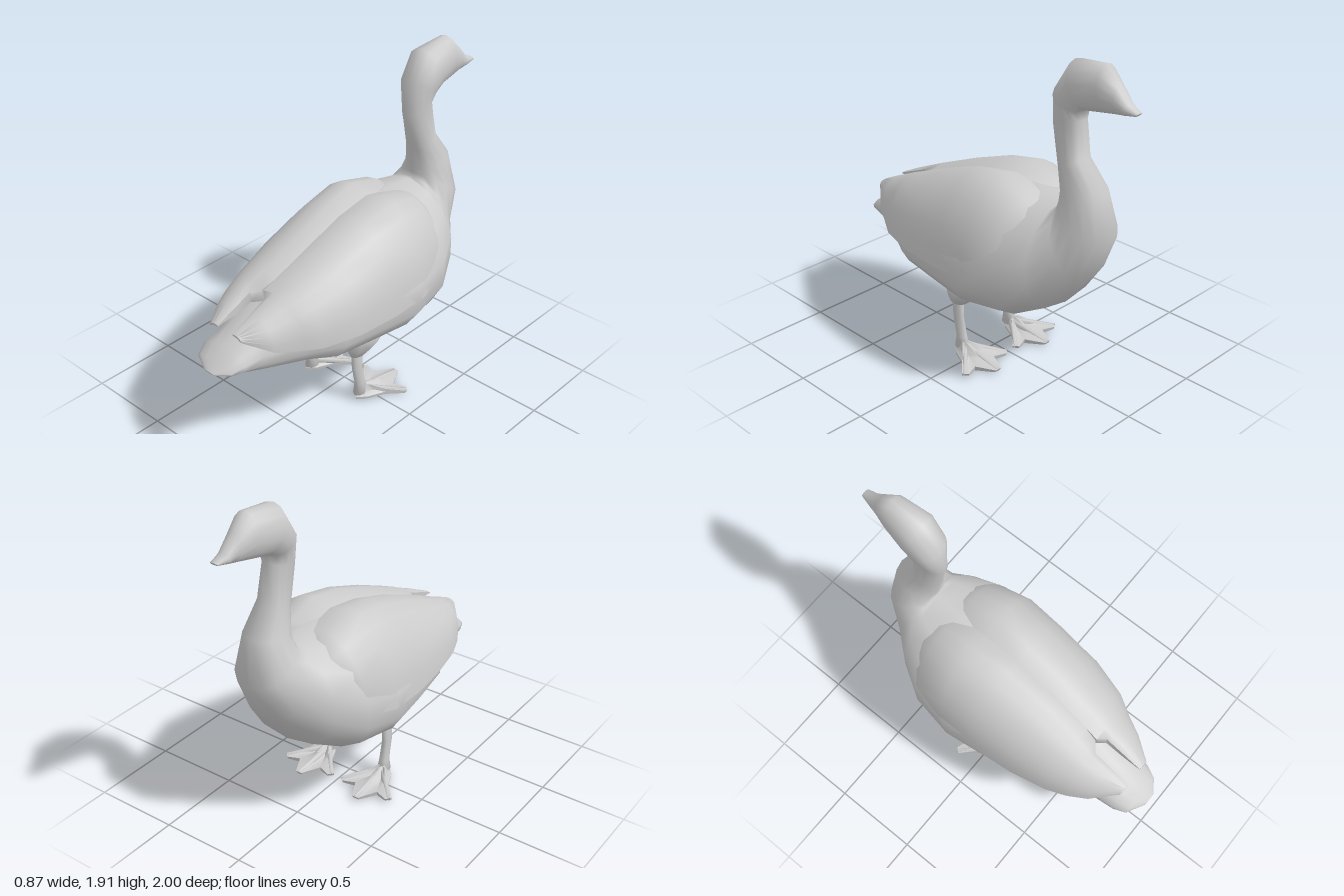
import * as THREE from 'three';
import { toCreasedNormals } from 'three/addons/utils/BufferGeometryUtils.js';

const material = new THREE.MeshStandardMaterial({ color: 0xcccccc });

// Skin a list of equal-length rings of [x, y, z] points, capped at both ends
function loft(name, rings, crease) {
  const n = rings[0].length;
  const pos = rings.flat();
  const idx = [];
  for (let r = 0; r < rings.length - 1; r++) {
    for (let i = 0; i < n; i++) {
      const a = r * n + i, b = r * n + (i + 1) % n;
      idx.push(a, b, a + n, b, b + n, a + n);
    }
  }
  [0, rings.length - 1].forEach((r, end) => {
    const c = pos.length;
    pos.push([0, 1, 2].map(k => rings[r].reduce((s, p) => s + p[k] / n, 0)));
    for (let i = 0; i < n; i++) {
      const a = r * n + i, b = r * n + (i + 1) % n;
      if (end) idx.push(a, b, c); else idx.push(b, a, c);
    }
  });
  // Turn the faces outward
  let volume = 0;
  const v = pos.map(p => new THREE.Vector3(...p));
  for (let i = 0; i < idx.length; i += 3) {
    volume += v[idx[i]].dot(v[idx[i + 1]].clone().cross(v[idx[i + 2]]));
  }
  if (volume < 0) idx.reverse();
  let geo = new THREE.BufferGeometry().setFromPoints(v);
  geo.setIndex(idx);
  geo.computeVertexNormals();
  if (crease) geo = toCreasedNormals(geo, crease);
  const mesh = new THREE.Mesh(geo, material);
  mesh.name = name;
  return mesh;
}

// Horizontal oval ring for the legs
function oval(x, y, z, rx, rz, n = 8) {
  return Array.from({ length: n }, (_, i) => {
    const a = i / n * Math.PI * 2;
    return [x + rx * Math.cos(a), y, z + rz * Math.sin(a)];
  });
}

// Tail, trunk, neck, head and beak as one skin
function makeBody() {
  // top z, top y, bottom z, bottom y, half width, x shift, height of the widest point (0 to 1)
  const sections = [
    [1.0, 0.598, 0.995, 0.585, 0.04, -0.02, 0.5],
    [0.95, 0.635, 0.94, 0.575, 0.13, -0.035, 0.4],
    [0.88, 0.69, 0.87, 0.56, 0.16, -0.035, 0.4],
    [0.77, 0.75, 0.75, 0.51, 0.18, -0.025, 0.45],
    [0.55, 0.86, 0.53, 0.485, 0.28, 0, 0.42],
    [0.30, 0.97, 0.40, 0.44, 0.37, 0, 0.4],
    [0.05, 1.08, 0.10, 0.42, 0.42, 0, 0.36],
    [-0.20, 1.13, -0.10, 0.40, 0.445, 0, 0.35],
    [-0.40, 1.13, -0.36, 0.42, 0.41, 0.005, 0.4],
    [-0.53, 1.12, -0.55, 0.52, 0.315, 0.015, 0.46],
    [-0.545, 1.13, -0.72, 0.74, 0.215, 0.015, 0.5],
    [-0.542, 1.16, -0.83, 0.97, 0.165, 0.025, 0.5],
    [-0.535, 1.20, -0.79, 1.23, 0.115, 0.03, 0.5],
    [-0.52, 1.31, -0.67, 1.39, 0.085, 0.035, 0.5],
    [-0.46, 1.54, -0.65, 1.59, 0.07, 0.03, 0.5],
    [-0.48, 1.73, -0.645, 1.635, 0.105, 0.03, 0.5],
    [-0.58, 1.89, -0.69, 1.655, 0.112, 0.03, 0.5],
    [-0.78, 1.915, -0.79, 1.67, 0.085, 0.035, 0.5],
    [-0.87, 1.83, -0.87, 1.685, 0.055, 0.04, 0.5],
    [-0.94, 1.755, -0.92, 1.695, 0.04, 0.045, 0.5],
    [-1.0, 1.727, -0.99, 1.71, 0.025, 0.05, 0.5],
  ];
  const n = 14;
  const rings = sections.map(([tz, ty, bz, by, w, x, mid]) =>
    Array.from({ length: n }, (_, i) => {
      const a = i / n * Math.PI * 2, c = Math.cos(a), s = Math.sin(a);
      const side = Math.sign(s) * Math.abs(s) ** (c < 0 ? 0.8 : 1); // flatter underside
      const t = mid + c * (c > 0 ? 1 - mid : mid);
      return [x + w * side, by + (ty - by) * t, bz + (tz - bz) * t];
    }));
  return loft('body', rings);
}

// Folded wing: a curved shell meeting its twin along the back, ending in a point above the tail
function makeWing(s) {
  // z, half gap, crest x, top y, outer x, lower y, x shift
  const sections = [
    [-0.53, 0, 0.10, 1.03, 0.24, 0.84, 0],
    [-0.38, 0, 0.10, 1.135, 0.39, 0.72, 0],
    [-0.18, 0, 0.11, 1.185, 0.435, 0.68, 0],
    [0.04, 0, 0.09, 1.145, 0.425, 0.66, 0],
    [0.30, 0, 0.08, 1.05, 0.40, 0.66, 0],
    [0.52, 0, 0.08, 0.955, 0.345, 0.66, -0.01],
    [0.60, 0.005, 0.08, 0.92, 0.305, 0.665, -0.02],
    [0.64, 0.05, 0.08, 0.90, 0.285, 0.67, -0.025],
    [0.74, 0.052, 0.08, 0.855, 0.23, 0.685, -0.025],
    [0.87, 0.055, 0.075, 0.79, 0.12, 0.765, -0.025],
  ];
  const rings = sections.map(([z, gap, xc, yt, xo, yl, shift]) => {
    const w = xo - xc, h = yt - yl, ring = [];
    for (let i = 0; i <= 6; i++) {
      const a = i / 6 * Math.PI / 2;
      ring.push([xc + w * Math.sin(a), yl + h * Math.cos(a)]);
    }
    ring.push([xc + w * 0.6, yl + h * 0.08], [xc + w * 0.45, yl + h * 0.4]);
    ring.push([gap, yl + h * 0.65], [gap, yt - h * 0.07]);
    return ring.map(([x, y]) => [s * x + shift, y, z]);
  });
  return loft(s > 0 ? 'leftWing' : 'rightWing', rings, 1.1);
}

// Thigh, shank and webbed foot
function makeLeg(s) {
  const leg = new THREE.Group();
  leg.name = s > 0 ? 'leftLeg' : 'rightLeg';
  const x = s * 0.19;
  leg.add(loft('thigh', [
    oval(s * 0.17, 0.55, 0.03, 0.10, 0.11),
    oval(s * 0.165, 0.425, 0.04, 0.125, 0.125),
    oval(s * 0.18, 0.37, 0.075, 0.08, 0.085),
    oval(x, 0.322, 0.1, 0.035, 0.05),
  ]));
  leg.add(loft('shank', [
    oval(x, 0.38, 0.1, 0.025, 0.04),
    oval(x, 0.23, 0.10, 0.023, 0.037),
    oval(x, 0.11, 0.075, 0.026, 0.035),
    oval(x, 0.04, 0.07, 0.036, 0.05),
  ]));
  // Outline: heel, then three toes with scalloped webs between them
  const outline = [
    [0, 0.12], [-0.045, 0.07], [-0.09, -0.03], [-0.175, -0.12], [-0.15, -0.15], [-0.075, -0.12],
    [-0.02, -0.23], [0.02, -0.23], [0.075, -0.12], [0.15, -0.15], [0.175, -0.12], [0.09, -0.03], [0.045, 0.07],
  ];
  const rim = (y, k) => outline.map(([px, pz], i) => {
    const web = i === 5 || i === 8;
    return [s * 0.2 + px * k, y - (web && k < 1 ? 0.012 : 0), 0.06 + (pz - 0.06) * k];
  });
  leg.add(loft('foot', [rim(0.012, 0.97), rim(0.028, 1), rim(0.048, 0.5), rim(0.085, 0.15)], 0.7));
  // Raised toe bones over the web
  [-0.16, 0, 0.16].forEach(tx => {
    leg.add(loft('toe', [
      oval(x, 0, 0, 0.026, 0.026, 6).map(([px, , pz]) => [px, 0.055 + pz, 0.05]),
      oval(s * 0.2 + tx, 0, 0, 0.014, 0.012, 6).map(([px, , pz]) => [px, 0.024 + pz, tx ? -0.13 : -0.225]),
    ]));
  });
  return leg;
}

export function createModel() {
  const model = new THREE.Group();
  model.name = 'goose';
  model.add(makeBody());
  for (const s of [1, -1]) model.add(makeWing(s), makeLeg(s));
  return model;
}
